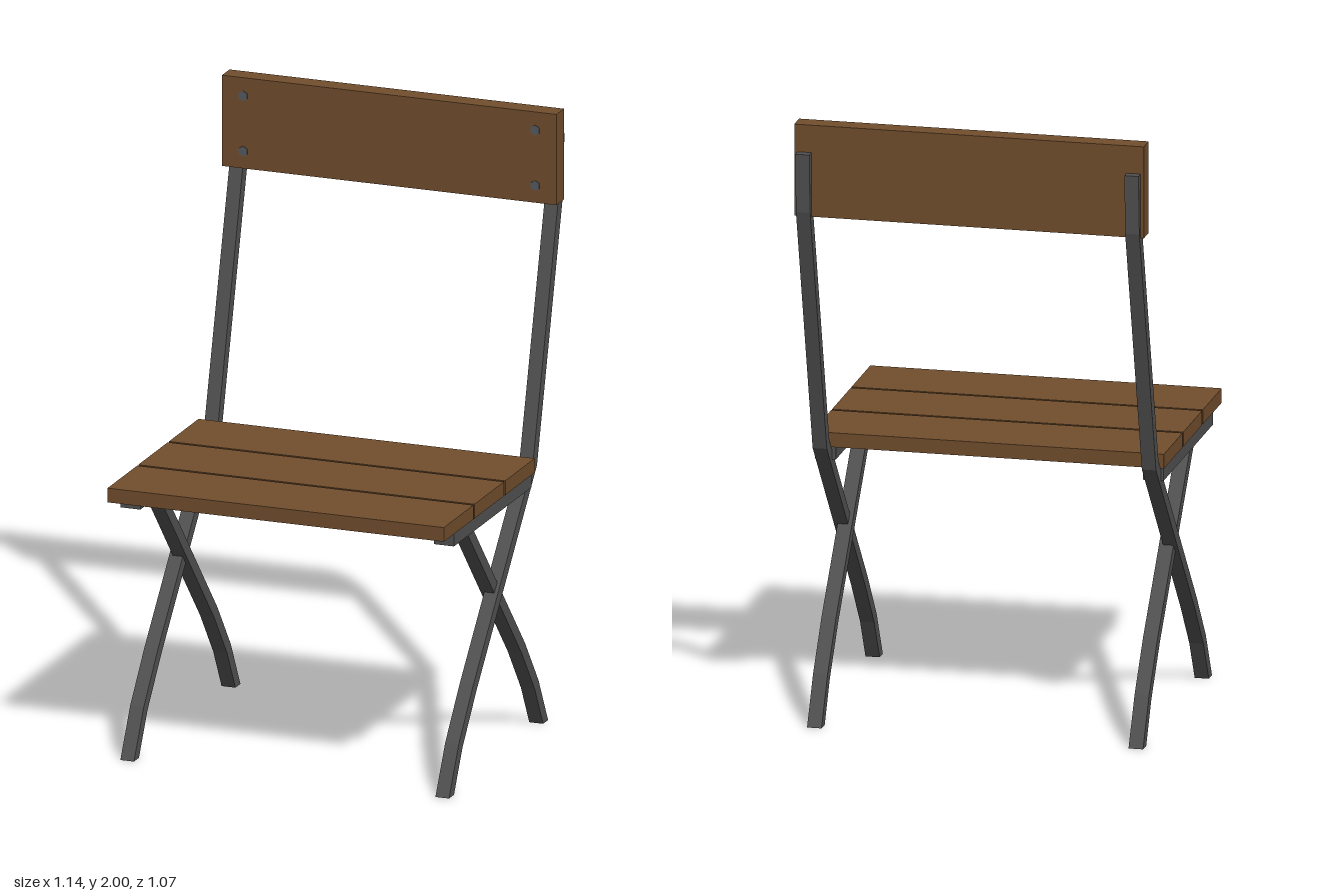
import * as THREE from 'three';

const wood = new THREE.MeshStandardMaterial({ color: 0x714e2d });
wood.name = 'brown wood';
const metal = new THREE.MeshStandardMaterial({ color: 0x515151 });
metal.name = 'dark grey metal';
const steel = new THREE.MeshStandardMaterial({ color: 0x565b60 });
steel.name = 'bolt steel';

// Box given by its limits on each axis
function box(name, material, [x0, x1], [y0, y1], [z0, z1]) {
  const mesh = new THREE.Mesh(new THREE.BoxGeometry(x1 - x0, y1 - y0, z1 - z0), material);
  mesh.position.set((x0 + x1) / 2, (y0 + y1) / 2, (z0 + z1) / 2);
  mesh.name = name;
  return mesh;
}

// Square bar bent along a [z, y] path, mitred at bends and cut level at both ends
function bentBar(name, path, width, x0, x1) {
  const pts = path.map(([z, y]) => new THREE.Vector2(z, y));
  const normals = pts.slice(1).map((p, i) => {
    const d = p.clone().sub(pts[i]).normalize();
    return new THREE.Vector2(d.y, -d.x);
  });
  const offsets = pts.map((p, i) => {
    if (i === 0 || i === pts.length - 1) {
      const n = normals[i === 0 ? 0 : i - 1];
      return new THREE.Vector2(width / 2 / n.x, 0);
    }
    const mitre = normals[i - 1].clone().add(normals[i]).normalize();
    return mitre.multiplyScalar(width / 2 / mitre.dot(normals[i]));
  });
  const right = pts.map((p, i) => p.clone().add(offsets[i]));
  const left = pts.map((p, i) => p.clone().sub(offsets[i])).reverse();
  const geometry = new THREE.ExtrudeGeometry(new THREE.Shape([...right, ...left]), {
    depth: x1 - x0, bevelEnabled: false,
  });
  geometry.rotateY(-Math.PI / 2);
  geometry.translate(x1, 0, 0);
  const mesh = new THREE.Mesh(geometry, metal);
  mesh.name = name;
  return mesh;
}

export function createModel() {
  const chair = new THREE.Group();
  chair.name = 'foldingChair';

  // Seat: three planks with narrow gaps
  for (let i = 0; i < 3; i++) {
    const z = -0.25 + i * 0.265;
    chair.add(box('seatPlank', wood, [-0.57, 0.57], [0.873, 0.92], [z, z + 0.255]));
  }

  // Backrest board
  chair.add(box('backrest', wood, [-0.567, 0.567], [1.7, 2], [-0.51, -0.445]));

  const longPath = [[0.436, 0], [0.357, 0.145], [0.235, 0.3], [-0.285, 0.89], [-0.51, 1.72], [-0.52, 1.91]];
  const shortPath = [[-0.407, 0], [-0.33, 0.145], [-0.215, 0.3], [0.28, 0.86]];

  for (const side of [-1, 1]) {
    const span = (a, b) => (side > 0 ? [a, b] : [-b, -a]);

    // Rail under the seat
    chair.add(box('seatRail', metal, span(0.498, 0.565), [0.828, 0.873], [-0.235, 0.435]));

    // Crossing legs; the long one carries the backrest
    chair.add(bentBar('longLeg', longPath, 0.038, ...span(0.511, 0.557)));
    chair.add(bentBar('shortLeg', shortPath, 0.038, ...span(0.498, 0.545)));

    // Bolt heads on the backrest
    for (const y of [1.757, 1.94]) {
      const bolt = new THREE.Mesh(new THREE.CylinderGeometry(0.017, 0.017, 0.006, 6), steel);
      bolt.rotation.x = Math.PI / 2;
      bolt.position.set(side * 0.495, y, -0.445);
      bolt.name = 'backrestBolt';
      chair.add(bolt);
    }
  }
  return chair;
}
